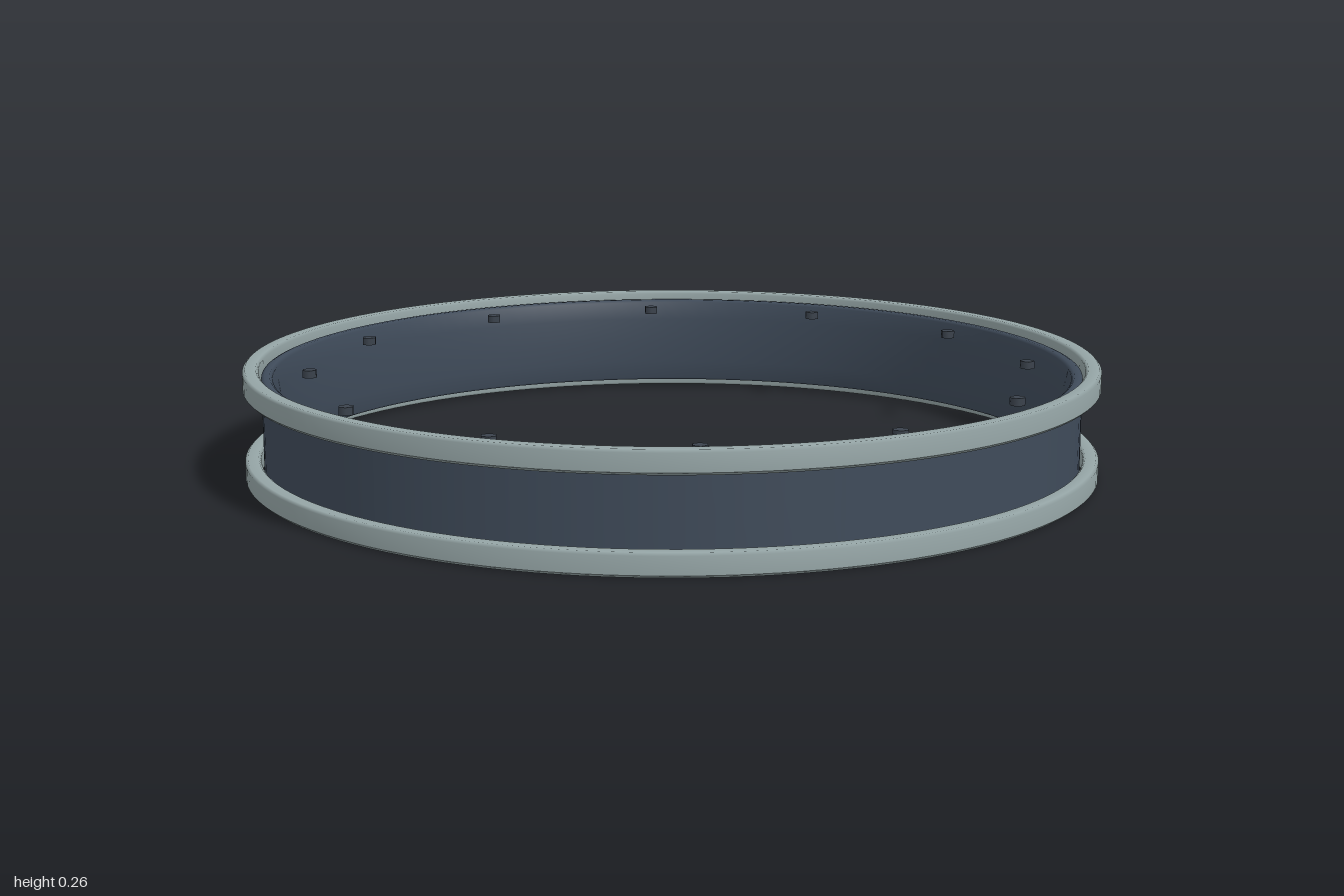
import * as THREE from 'three';

const rimMaterial = new THREE.MeshStandardMaterial({ color: 0x95a5a6 });
rimMaterial.name = 'pale grey rim';
const barrelMaterial = new THREE.MeshStandardMaterial({ color: 0x3f4b5a });
barrelMaterial.name = 'dark slate barrel';
const boltMaterial = new THREE.MeshStandardMaterial({ color: 0x3b434d });
boltMaterial.name = 'dark bolt';

// Revolve a closed profile of [radius, y] pairs, listed counter-clockwise
function revolve(name, profile, material) {
  const points = [...profile, profile[0]].map(([r, y]) => new THREE.Vector2(r, y));
  const mesh = new THREE.Mesh(new THREE.LatheGeometry(points, 128), material);
  mesh.name = name;
  return mesh;
}

export function createModel() {
  const model = new THREE.Group();
  model.name = 'wheelRim';

  // Two flanges with softened corners
  const inner = 0.963, outer = 1, height = 0.052, c = 0.006;
  const flange = (y) => [
    [outer, y + c], [outer, y + height - c],
    [outer - c, y + height], [inner + c, y + height],
    [inner, y + height - c], [inner, y + c],
    [inner + c, y], [outer - c, y],
  ];
  model.add(revolve('lowerFlange', flange(0), rimMaterial));
  model.add(revolve('upperFlange', flange(0.208), rimMaterial));

  // Barrel: straight outside, slightly bulged inside
  model.add(revolve('barrel', [
    [0.957, 0.022], [0.957, 0.03], [0.957, 0.23], [0.957, 0.238],
    [0.95, 0.241], [0.938, 0.241], [0.931, 0.235],
    [0.927, 0.19], [0.925, 0.13], [0.927, 0.07],
    [0.931, 0.025], [0.938, 0.019], [0.95, 0.019],
  ], barrelMaterial));

  // Twelve hexagonal bolts set in a circle inside the barrel
  const bolts = new THREE.Group();
  bolts.name = 'bolts';
  const boltGeometry = new THREE.CylinderGeometry(0.018, 0.018, 0.018, 6);
  for (let i = 0; i < 12; i++) {
    const angle = (i / 12) * Math.PI * 2;
    const bolt = new THREE.Mesh(boltGeometry, boltMaterial);
    bolt.name = 'bolt';
    bolt.position.set(Math.cos(angle) * 0.85, 0.228, Math.sin(angle) * 0.85);
    bolts.add(bolt);
  }
  model.add(bolts);

  return model;
}
